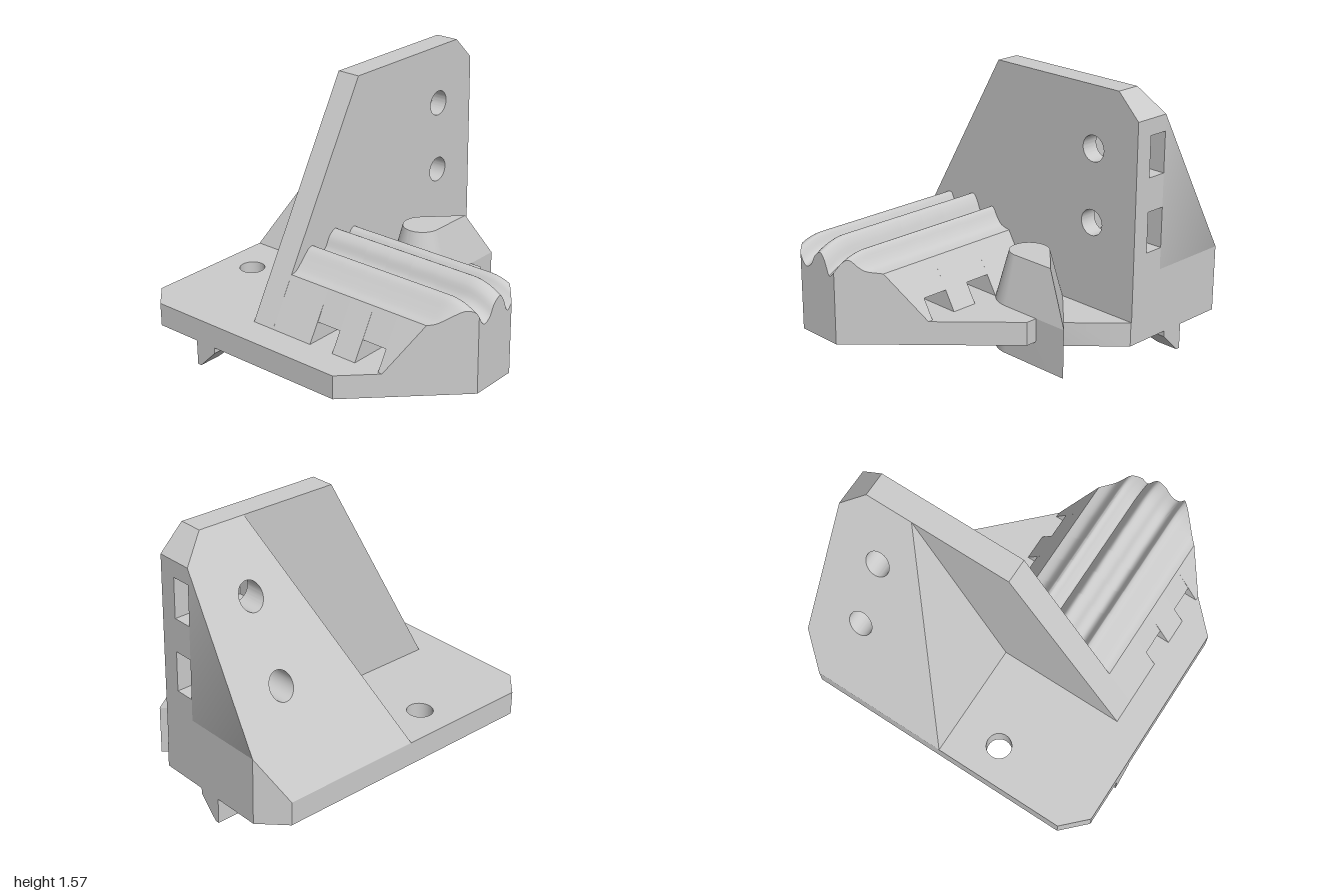
import * as THREE from 'three';
import { toCreasedNormals } from 'three/addons/utils/BufferGeometryUtils.js';

const BOTTOM = 0.15, DECK = 0.29, TOP = 1.57, SPLIT = 1.43;
const slopeZ = y => -0.29 - (TOP - y) * 0.71 / 1.28;      // sloping back of the gusset
const innerX = y => -0.02 + (y - DECK) * 0.57 / 1.28;     // leaning inner side of the gusset

const poly = pts => new THREE.Shape(pts.map(p => new THREE.Vector2(p[0], p[1])));
const circle = (x, y, r) => new THREE.Path().absarc(x, y, r, 0, Math.PI * 2, true);
const extrude = (shape, depth) =>
  new THREE.ExtrudeGeometry(shape, { depth, bevelEnabled: false, curveSegments: 32 });

// Apply rule(vertex) to every vertex
function reshape(geo, rule) {
  const p = geo.attributes.position, v = new THREE.Vector3();
  for (let i = 0; i < p.count; i++) {
    v.fromBufferAttribute(p, i);
    rule(v, i);
    p.setXYZ(i, v.x, v.y, v.z);
  }
  return geo;
}

// Upright layer: outline in x,y; the back can be a depth or a rule giving z
function layer(shape, front, back) {
  const geo = extrude(shape, 1).translate(0, 0, -1);
  return reshape(geo, v => {
    v.z = v.z > -0.5 ? front : typeof back === 'function' ? back(v.x, v.y) : back;
  });
}

// Flat layer: outline in x,z between two heights
const slab = (shape, y0, y1) => extrude(shape, y1 - y0).rotateX(Math.PI / 2).translate(0, y1, 0);

export function createModel() {
  const model = new THREE.Group();
  const material = new THREE.MeshStandardMaterial({ color: 0xcccccc });
  const add = (name, geo, parent = model) => {
    const mesh = new THREE.Mesh(toCreasedNormals(geo, 0.7), material);
    mesh.name = name;
    parent.add(mesh);
  };
  const group = name => {
    const g = new THREE.Group();
    g.name = name;
    model.add(g);
    return g;
  };

  // Base plate with a screw hole and two nut slots
  const base = poly([[-0.98, -0.86], [-0.84, -1], [0.84, -1], [0.98, -0.86], [0.98, -0.14],
    [0.72, 0.12], [0.58, 0.18], [0.58, 0.26], [-0.16, 1], [-0.45, 1], [-0.98, 0.45]]);
  base.holes.push(circle(-0.3, -0.79, 0.075));
  for (const x of [0.11, 0.44]) {
    base.holes.push(new THREE.Path([[x - 0.05, -0.54], [x - 0.05, -0.38], [x + 0.05, -0.38],
      [x + 0.05, -0.54]].map(p => new THREE.Vector2(...p))));
  }
  add('basePlate', slab(base, BOTTOM, DECK));

  // Upright wall
  const wall = group('uprightWall');
  const boltHoles = () => [0.79, 1.215].map(y => circle(0.67, y, 0.075));
  const face = poly([[-0.8, DECK], [0.98, DECK], [0.98, SPLIT], [0.84, TOP], [-0.06, TOP]]);
  face.holes = boltHoles();
  add('wallFace', layer(face, -0.145, -0.25), wall);
  add('wallBack', layer(poly([[-0.8, DECK], [0.5, DECK], [0.5, SPLIT], [0.55, TOP], [-0.06, TOP]]),
    -0.25, -0.29), wall);

  // Gusset: a layer with nut slots open to the side, then the sloping back
  const gusset = group('gusset');
  const slotBack = slopeZ(SPLIT);
  const byHeight = (x, y) => slopeZ(y);
  const lower = [innerX(DECK), DECK], upper = [innerX(SPLIT), SPLIT];
  const slots = [[0.67, 0.905], [1.1, 1.335]].flatMap(([a, b]) =>
    [[0.98, a], [0.55, a], [0.55, b], [0.98, b]]);
  add('nutSlots', layer(poly([lower, [0.98, DECK], ...slots, [0.98, SPLIT], upper]), -0.25, slotBack), gusset);
  add('gussetTop', layer(poly([upper, [0.98, SPLIT], [0.84, TOP], [innerX(TOP), TOP]]), -0.25, byHeight), gusset);
  const back = poly([lower, [0.84, DECK], [0.98, 0.542], [0.98, SPLIT], upper]);
  back.holes = boltHoles();
  add('gussetBack', layer(back, slotBack, byHeight), gusset);
  add('gussetCorner', layer(poly([[0.84, DECK], [0.98, DECK], [0.98, 0.542]]), slotBack, x => x - 1.84), gusset);

  // Ridged block: wavy top profile
  const ridges = new THREE.SplineCurve([[-0.64, 0.565], [-0.6, 0.575], [-0.55, 0.62], [-0.5, 0.67],
    [-0.465, 0.68], [-0.45, 0.665], [-0.425, 0.62], [-0.395, 0.605], [-0.355, 0.63], [-0.32, 0.69],
    [-0.27, 0.72], [-0.235, 0.68], [-0.2, 0.605], [-0.16, 0.635], [-0.13, 0.67], [-0.1, 0.675],
    [-0.065, 0.62], [-0.03, 0.585], [0.03, 0.57]].map(p => new THREE.Vector2(...p)));
  const wave = ridges.getPoints(18 * 4).map(p => [p.x, p.y]);
  const block = group('ridgedBlock');
  const section = [[-0.8, DECK], ...wave, [0.2, DECK]];
  // Strap tunnels with a sagging ceiling
  const ceiling = [];
  for (let i = 0; i <= 16; i++) {
    const u = 1 - i / 8;
    ceiling.push([-0.3 + 0.433 * u, 0.34 + 0.06 * u * u]);
  }
  const tunnel = [...wave, ...ceiling];
  [[-0.16, 0.13, section], [0.13, 0.29, tunnel], [0.29, 0.45, section], [0.45, 0.61, tunnel]]
    .forEach(([z0, z1, pts], i) => add(i % 2 ? 'strapTunnel' : 'blockBody', layer(poly(pts), z1, z0), block));

  // Pointed nose: back wall, rounded top and chamfered front as one grid
  const n = section.length, rows = 14;
  const noseFront = x => x < -0.45 ? 1 + (x + 0.45) * 0.55 / 0.53 : x > -0.16 ? 0.84 - x : 1;
  const nose = new THREE.PlaneGeometry(1, 1, n - 1, rows);
  add('blockNose', reshape(nose, (v, i) => {
    const [x, y] = section[i % n], row = Math.floor(i / n);
    const t = THREE.MathUtils.clamp((row - 1) / (rows - 2), 0, 1);
    const z = 0.61 + t * (noseFront(x) - 0.61);
    const drop = 0.06 * Math.max(0, (z - 0.82) / 0.18) ** 2;
    v.set(x, row === 0 || row === rows ? DECK : Math.max(DECK, y - drop), z);
  }), block);

  // Teardrop post, tapering above the deck
  const post = group('teardropPost');
  const drop = () => {
    const s = new THREE.Shape();
    s.absarc(0, 0, 0.19, Math.PI / 2, Math.PI * 1.75, false);
    s.lineTo(0.45, 0.19);
    s.closePath();
    return s;
  };
  add('postFoot', slab(drop(), 0, DECK).translate(0.34, 0, 0), post);
  add('postTaper', reshape(slab(drop(), DECK, 0.575), v => {
    if (v.y > 0.4) { v.x *= 0.605; v.z *= 0.605; }
  }).translate(0.34, 0, 0), post);

  // Hooks under both side edges
  const hook = [[-0.43, BOTTOM], [-0.43, 0.115], [-0.545, 0], [-0.57, 0], [-0.57, BOTTOM]];
  for (const side of [1, -1]) {
    const geo = extrude(poly(hook), 0.28).rotateY(-Math.PI / 2).translate(side > 0 ? 0.98 : -0.7, 0, 0);
    add(side > 0 ? 'leftHook' : 'rightHook', reshape(geo, v => {
      if (Math.abs(v.x) < 0.8) v.x = side * (0.84 - 0.14 * v.y / BOTTOM);
    }));
  }
  return model;
}
